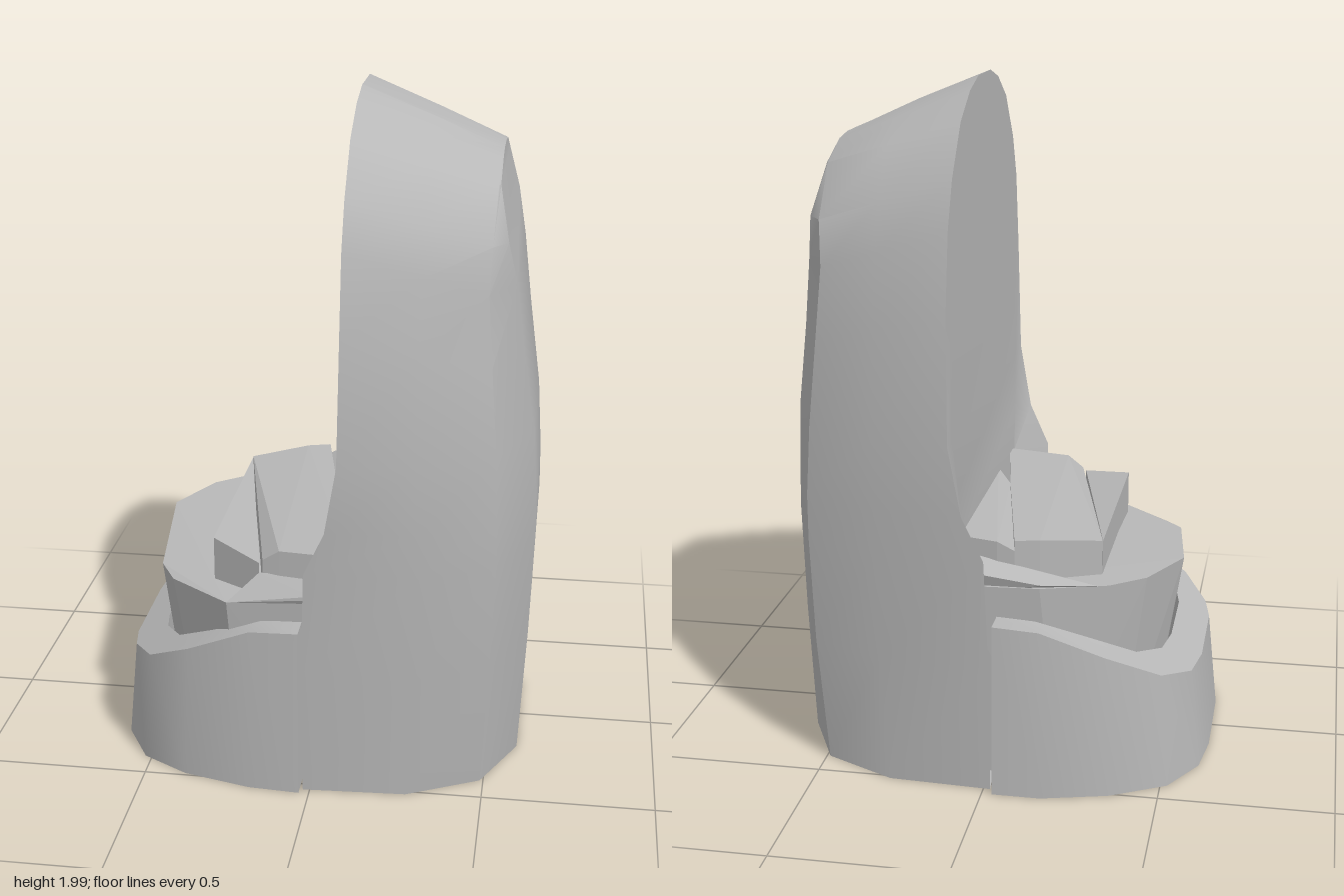
import * as THREE from 'three';
import { toCreasedNormals } from 'three/addons/utils/BufferGeometryUtils.js';
import { ConvexGeometry } from 'three/addons/geometries/ConvexGeometry.js';

const stone = new THREE.MeshStandardMaterial({ color: 0xb8b8b8 });
stone.name = 'grey stone';

// Joins equal-length closed loops of [x, y, z] points and caps both ends.
function loft(rings, crease) {
  const n = rings[0].length;
  const last = (rings.length - 1) * n;
  const index = [];
  for (let r = 0; r < rings.length - 1; r++) {
    for (let i = 0; i < n; i++) {
      const j = (i + 1) % n;
      const a = r * n + i, b = r * n + j;
      index.push(a, b, b + n, a, b + n, a + n);
    }
  }
  for (let i = 1; i < n - 1; i++) {
    index.push(0, i + 1, i, last, last + i, last + i + 1);
  }
  const geo = new THREE.BufferGeometry();
  geo.setAttribute('position', new THREE.Float32BufferAttribute(rings.flat(2), 3));
  geo.setIndex(index);
  return toCreasedNormals(geo, crease);
}

const hull = (points) => new ConvexGeometry(points.map((p) => new THREE.Vector3(...p)));

// Flat-sided block from top corners [x, y, z] down to a base height.
const block = (top, base) => hull([...top, ...top.map(([x, , z]) => [x, base, z])]);

export function createModel() {
  const group = new THREE.Group();
  const add = (name, geometry) => {
    const mesh = new THREE.Mesh(geometry, stone);
    mesh.name = name;
    group.add(mesh);
  };

  // Tall half shell: each level holds edge, middle, shoulder and outer points (+z half)
  const levels = [
    [[-0.02, 0.01, 0.53], [0.28, 0.01, 0.515], [0.49, 0.01, 0.41], [0.59, 0.01, 0.2]],
    [[-0.02, 0.4, 0.55], [0.3, 0.4, 0.535], [0.51, 0.4, 0.45], [0.61, 0.4, 0.2]],
    [[-0.01, 0.72, 0.565], [0.3, 0.72, 0.55], [0.52, 0.72, 0.46], [0.62, 0.72, 0.2]],
    [[0.05, 0.85, 0.573], [0.3, 0.85, 0.555], [0.52, 0.85, 0.46], [0.618, 0.85, 0.2]],
    [[0.085, 1.05, 0.58], [0.3, 1.05, 0.56], [0.51, 1.05, 0.45], [0.605, 1.05, 0.22]],
    [[0.09, 1.4, 0.56], [0.3, 1.36, 0.53], [0.49, 1.3, 0.43], [0.57, 1.3, 0.25]],
    [[0.09, 1.63, 0.52], [0.3, 1.56, 0.48], [0.475, 1.5, 0.41], [0.545, 1.5, 0.28]],
    [[0.09, 1.76, 0.46], [0.3, 1.69, 0.44], [0.48, 1.63, 0.395], [0.52, 1.63, 0.34]],
    [[0.09, 1.9, 0.34], [0.3, 1.83, 0.32], [0.485, 1.77, 0.27], [0.49, 1.77, 0.26]],
    [[0.09, 1.97, 0.21], [0.3, 1.89, 0.19], [0.485, 1.82, 0.14], [0.489, 1.82, 0.13]],
    [[0.09, 2.0, 0.09], [0.3, 1.915, 0.08], [0.485, 1.83, 0.06], [0.488, 1.83, 0.05]],
  ];
  add('tallShell', loft(levels.map((level) => {
    const [, y, z] = level[0];
    const half = [[0.09, y, z * 0.86], ...level];
    return [...half, ...half.map(([px, py, pz]) => [px, py, -pz]).reverse()];
  }), 0.6));

  // Low curved wall: box section swept round a U, with a sloping top
  const wallPath = [
    [-0.03, -0.56], [-0.17, -0.56], [-0.36, -0.51], [-0.52, -0.42], [-0.6, -0.28], [-0.62, -0.13],
    [-0.62, 0.17], [-0.6, 0.27], [-0.52, 0.41], [-0.38, 0.49], [-0.18, 0.54], [-0.03, 0.55],
  ];
  const inset = (x, k) => -0.03 + (x + 0.03) * k;
  const height = (x) => Math.min(0.52 + (x + 0.18) * 0.53, 0.515 + (x + 0.18) * 0.06);
  add('lowWall', loft(wallPath.map(([x, z]) => {
    const top = inset(x, 0.95), inner = inset(x, 0.79);
    return [
      [x, 0.01, z], [inner, 0.01, z * 0.85],
      [inner, height(inner), z * 0.85], [top, height(top), z * 0.99],
    ];
  }), 0.6));

  // Faceted core flaring toward its tilted top
  add('core', hull([
    [0.1, 0.61, -0.475], [-0.15, 0.61, -0.46], [-0.34, 0.61, -0.4], [-0.44, 0.61, -0.32],
    [-0.53, 0.61, -0.14], [-0.49, 0.57, 0.23], [-0.44, 0.56, 0.31], [-0.25, 0.57, 0.465],
    [0.1, 0.59, 0.47], [0.1, 0.01, -0.42], [-0.2, 0.01, -0.41], [-0.36, 0.01, -0.28],
    [-0.43, 0.01, -0.1], [-0.43, 0.01, 0.19], [-0.36, 0.01, 0.3], [-0.22, 0.01, 0.41], [0.1, 0.01, 0.42],
  ]));

  // Slanted stepped slabs on the core
  add('outerSlab', block([[-0.31, 0.71, -0.31], [-0.31, 0.71, 0.33], [-0.16, 0.68, 0.42]], 0.55));
  add('middleSlab', block([
    [-0.31, 0.712, -0.315], [-0.15, 0.69, 0.42], [-0.1, 0.725, 0.43], [0.1, 0.73, 0.46],
    [0.04, 0.73, 0.13], [-0.07, 0.73, -0.41], [-0.14, 0.73, -0.39],
  ], 0.55));
  add('innerSlab', block([[-0.07, 0.7, -0.41], [-0.02, 0.725, -0.41], [0.1, 0.73, -0.39], [0.1, 0.73, 0.25], [0.04, 0.72, 0.13]], 0.55));

  // Sloping ledge between the slabs and the shell on each side
  add('frontLedge', hull([
    [-0.25, 0.57, 0.465], [-0.16, 0.65, 0.42], [0.1, 0.66, 0.45], [0.1, 0.61, 0.48],
    [0, 0.61, 0.475], [-0.2, 0.55, 0.42], [0.1, 0.55, 0.45],
  ]));
  add('backLedge', hull([
    [-0.31, 0.61, -0.41], [-0.15, 0.62, -0.46], [0.1, 0.66, -0.48], [0.1, 0.69, -0.4],
    [-0.06, 0.66, -0.41], [-0.25, 0.55, -0.35], [0.1, 0.55, -0.44],
  ]));

  return group;
}
